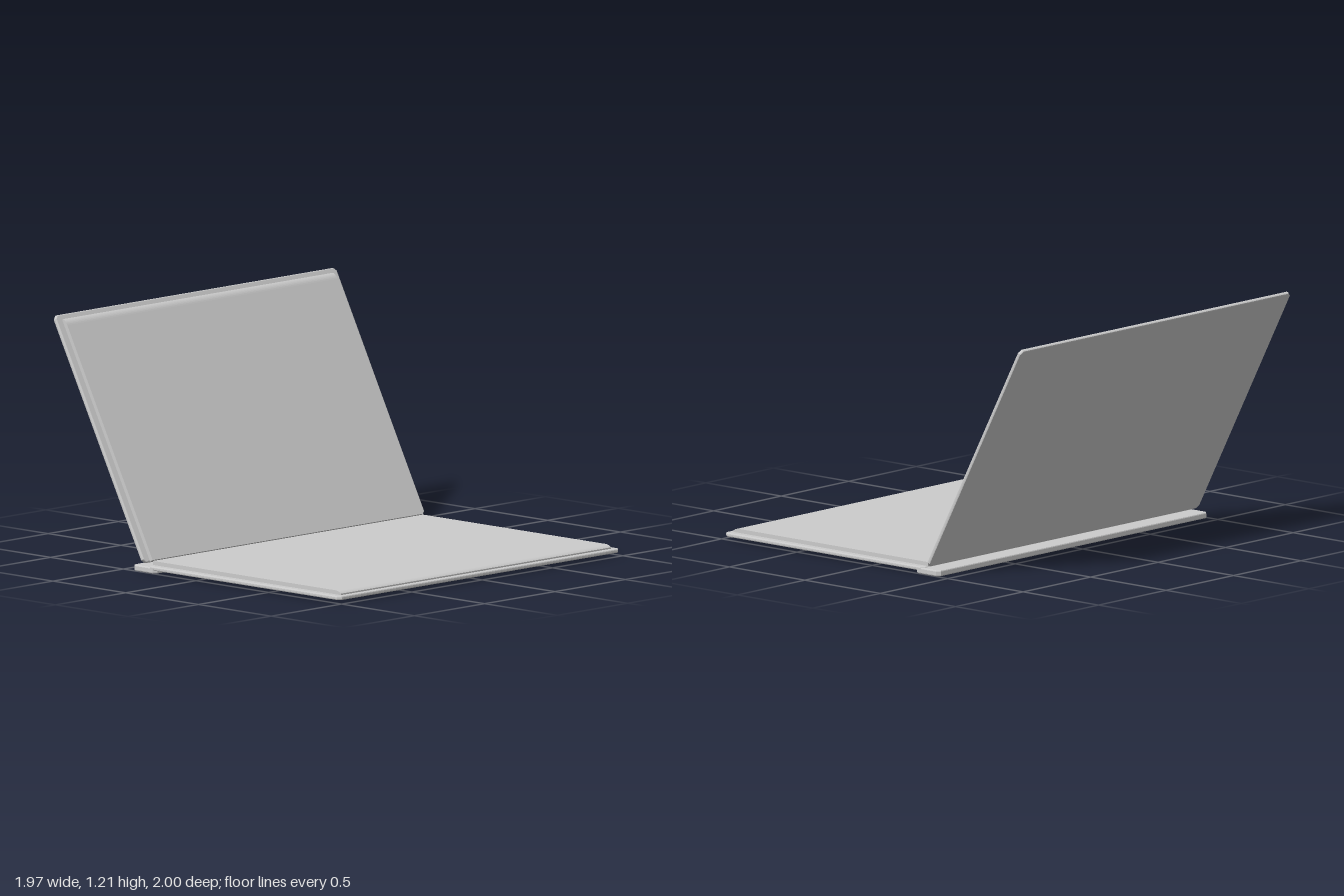
import * as THREE from 'three';

const material = new THREE.MeshStandardMaterial({ color: 0xcccccc, side: THREE.DoubleSide });
const LENGTH = 1.32, BOARD = 0.02, PAGES = 0.02;

// Thin board in the xz plane, from x = 0 to width, y = 0 to thick, with small cut corners and bevelled rims
function board(name, width, thick, cut = 0.014, bevel = 0.006) {
  const x0 = bevel, x1 = width - bevel, z = 1 - bevel;
  const shape = new THREE.Shape([
    [x0 + cut, -z], [x1 - cut, -z], [x1, -z + cut], [x1, z - cut],
    [x1 - cut, z], [x0 + cut, z], [x0, z - cut], [x0, -z + cut],
  ].map(([x, y]) => new THREE.Vector2(x, y)));
  const geometry = new THREE.ExtrudeGeometry(shape, {
    depth: thick - 2 * bevel, bevelThickness: bevel, bevelSize: bevel, bevelSegments: 2,
  });
  geometry.rotateX(-Math.PI / 2).translate(0, bevel, 0);
  const mesh = new THREE.Mesh(geometry, material);
  mesh.name = name;
  return mesh;
}

// Page block: a side profile with a rounded fore edge, extruded across the book
function pageBlock(name) {
  const profile = new THREE.Shape();
  profile.moveTo(0, 0);
  profile.lineTo(1.292, 0);
  profile.lineTo(1.292, 0.007);
  profile.quadraticCurveTo(1.278, PAGES, 1.255, PAGES);
  profile.lineTo(0, PAGES);
  const geometry = new THREE.ExtrudeGeometry(profile, { depth: 1.92, bevelEnabled: false, curveSegments: 6 });
  geometry.translate(0, BOARD, -0.96);
  const mesh = new THREE.Mesh(geometry, material);
  mesh.name = name;
  return mesh;
}

// One half of the book: cover board with its pages on the inner side
function half(side) {
  const group = new THREE.Group();
  group.name = side + 'Half';
  group.add(board(side + 'Cover', LENGTH, BOARD), pageBlock(side + 'Pages'));
  return group;
}

export function createModel() {
  const book = new THREE.Group();
  book.name = 'openBook';

  // Spine strip lying under the hinge
  const spine = board('spine', 0.16, 0.03);
  spine.position.x = -0.44;
  book.add(spine);

  // Half lying flat
  const flat = half('flat');
  flat.position.set(-0.335, 0.015, 0);
  book.add(flat);

  // Raised half, leaning back from the hinge
  const raised = half('raised');
  const along = new THREE.Vector3(-0.468, 0.884, 0).normalize();
  const inward = new THREE.Vector3(along.y, -along.x, 0);
  raised.quaternion.setFromRotationMatrix(
    new THREE.Matrix4().makeBasis(along, inward, new THREE.Vector3(0, 0, -1)));
  raised.position.set(-0.372, 0.04, 0);
  book.add(raised);

  return book;
}
